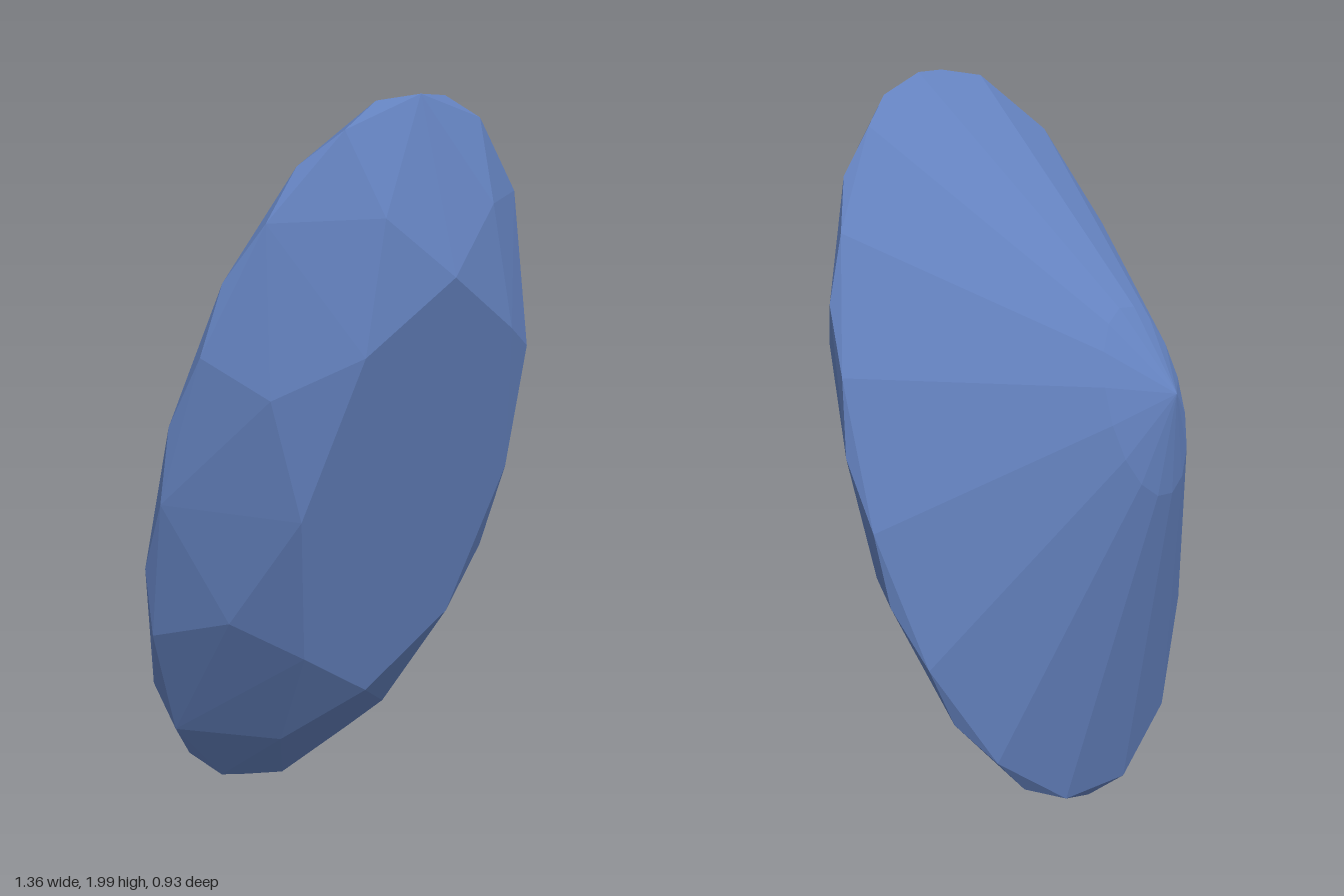
import * as THREE from 'three';

// Half width and half length of the oval girdle
const A = 0.685, B = 1.034;
const STEP = Math.PI / 16;

// Point on a scaled oval: k = angle step clockwise from the long end, r = scale, h = height along the gem axis
const pt = (k, r, h) => new THREE.Vector3(A * r * Math.sin(k * STEP), B * r * Math.cos(k * STEP), h);

const table = (k) => pt(k, 0.6, 0.252);
const star = (k) => pt(k, 0.805, 0.16);
const rimTop = (k) => pt(k, 1, 0.015);
const rimLow = (k) => pt(k, 1, -0.014);
const lower = (k) => pt(k, 0.25, -0.446);
const culet = pt(0, 0, -0.548);

// The stone is convex, so every triangle is turned to face away from its centre
function facets(name, tris) {
  const pos = [];
  const n = new THREE.Vector3(), e = new THREE.Vector3(), mid = new THREE.Vector3();
  for (const [a, b, c] of tris) {
    n.subVectors(b, a).cross(e.subVectors(c, a));
    mid.copy(a).add(b).add(c);
    const order = n.dot(mid) < 0 ? [a, c, b] : [a, b, c];
    for (const p of order) pos.push(p.x, p.y, p.z);
  }
  const geo = new THREE.BufferGeometry();
  geo.setAttribute('position', new THREE.Float32BufferAttribute(pos, 3));
  geo.computeVertexNormals();
  const mesh = new THREE.Mesh(geo, new THREE.MeshStandardMaterial({ color: 0x6482bf, flatShading: true }));
  mesh.name = name;
  return mesh;
}

export function createModel() {
  const tableTris = [], crownTris = [], girdleTris = [], pavilionTris = [];

  // Table octagon and the eight-fold crown: star triangles, kites and rim triangles
  for (let k = 0; k < 32; k += 4) {
    tableTris.push([pt(0, 0, 0.252), table(k), table(k + 4)]);
    crownTris.push(
      [table(k), star(k + 2), table(k + 4)],
      [table(k), star(k - 2), rimTop(k)],
      [table(k), rimTop(k), star(k + 2)],
      [star(k + 2), rimTop(k), rimTop(k + 2)],
      [star(k + 2), rimTop(k + 2), rimTop(k + 4)]
    );
  }

  // Zigzag girdle between staggered rims, then the sixteen-sided pavilion
  for (let k = 0; k < 32; k += 2) {
    girdleTris.push(
      [rimTop(k), rimTop(k + 2), rimLow(k + 1)],
      [rimLow(k - 1), rimTop(k), rimLow(k + 1)]
    );
    const a = k - 1, b = k + 1;
    pavilionTris.push(
      [rimLow(a), rimLow(b), lower(b)],
      [rimLow(a), lower(b), lower(a)],
      [lower(a), lower(b), culet]
    );
  }

  const gem = new THREE.Group();
  gem.name = 'ovalGem';
  gem.add(
    facets('table', tableTris),
    facets('crown', crownTris),
    facets('girdle', girdleTris),
    facets('pavilion', pavilionTris)
  );

  // Tilt: long axis leans forward at the top, table faces forward and slightly down
  const axis = new THREE.Vector3(-0.094, -0.268, 0.959).normalize();
  const long = new THREE.Vector3(-0.048, 0.961, 0.271);
  const wide = long.clone().cross(axis).normalize();
  long.crossVectors(axis, wide);
  gem.quaternion.setFromRotationMatrix(new THREE.Matrix4().makeBasis(wide, long, axis));
  gem.position.set(0, 1, 0.055);

  const model = new THREE.Group();
  model.name = 'gemstone';
  model.add(gem);
  return model;
}
